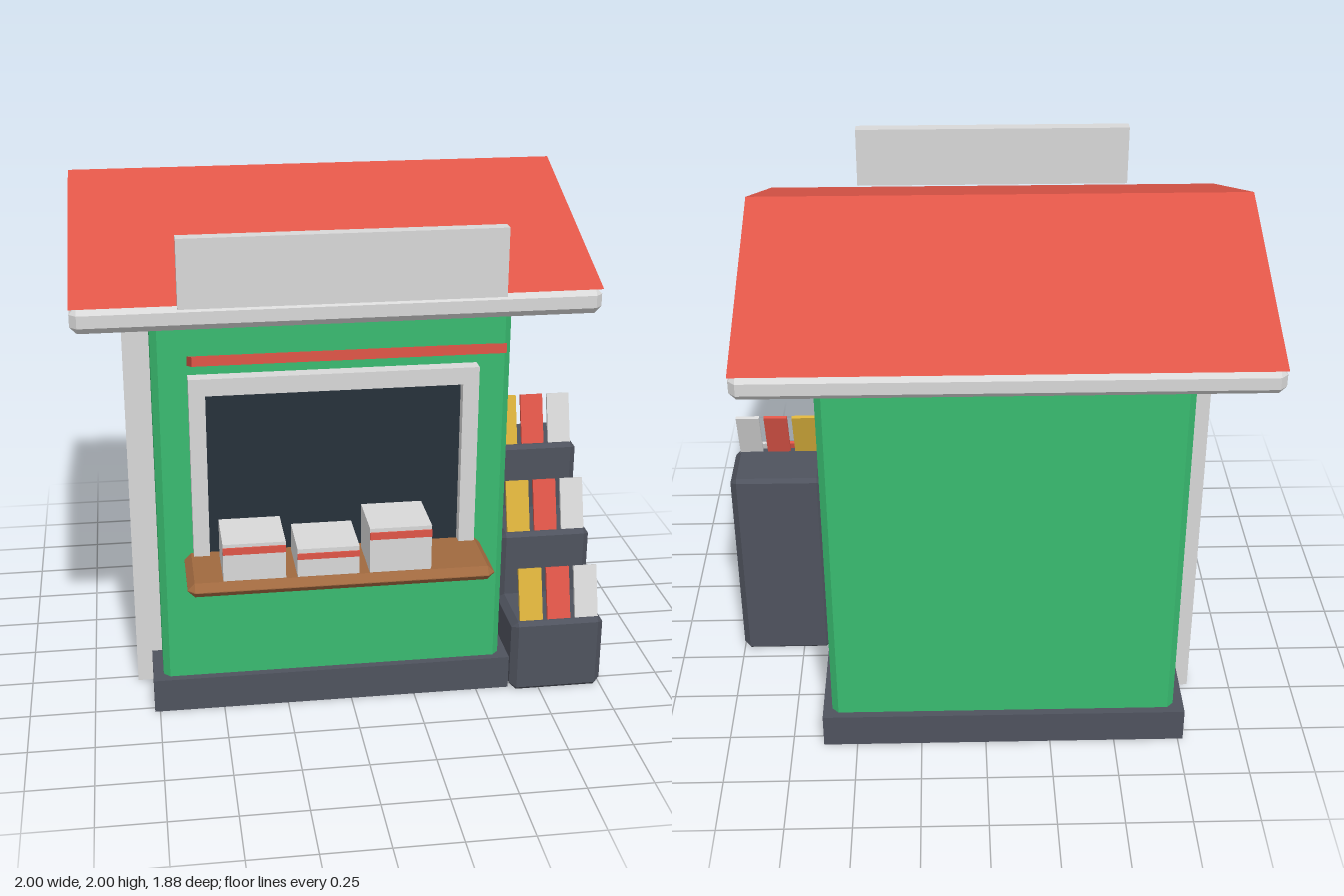
import * as THREE from 'three';
import { ConvexGeometry } from 'three/addons/geometries/ConvexGeometry.js';

const paint = (name, color) => {
  const m = new THREE.MeshStandardMaterial({ color });
  m.name = name;
  return m;
};

export function createModel() {
  const red = paint('red', 0xe05648);
  const green = paint('green', 0x39bb70);
  const white = paint('white', 0xd8d8d8);
  const slate = paint('slate', 0x4f535e);
  const brown = paint('brown', 0xa0693f);
  const glass = paint('dark glass', 0x27313b);
  const yellow = paint('yellow', 0xdcb23c);

  const model = new THREE.Group();
  model.name = 'kiosk';

  const add = (name, geometry, material, parent = model) => {
    const mesh = new THREE.Mesh(geometry, material);
    mesh.name = name;
    parent.add(mesh);
    return mesh;
  };

  // Box given by its limits on each axis
  const box = (name, material, [x0, x1], [y0, y1], [z0, z1], parent = model) => {
    const mesh = add(name, new THREE.BoxGeometry(x1 - x0, y1 - y0, z1 - z0), material, parent);
    mesh.position.set((x0 + x1) / 2, (y0 + y1) / 2, (z0 + z1) / 2);
    return mesh;
  };

  // Box with every edge chamfered by c
  const chamferBox = (name, material, [x0, x1], [y0, y1], [z0, z1], c) => {
    const half = [(x1 - x0) / 2, (y1 - y0) / 2, (z1 - z0) / 2];
    const points = [];
    for (const sx of [-1, 1]) for (const sy of [-1, 1]) for (const sz of [-1, 1])
      for (let full = 0; full < 3; full++) {
        const p = [sx, sy, sz].map((s, axis) => s * (half[axis] - (axis === full ? 0 : c)));
        points.push(new THREE.Vector3(...p));
      }
    const mesh = add(name, new ConvexGeometry(points), material);
    mesh.position.set((x0 + x1) / 2, (y0 + y1) / 2, (z0 + z1) / 2);
    return mesh;
  };

  // Side profile of [z, y] points extruded along x from x0 to x1
  const sideProfile = (name, material, points, x0, x1, bevel = 0) => {
    const shape = new THREE.Shape(points.map(([z, y]) => new THREE.Vector2(-z, y)));
    const geometry = new THREE.ExtrudeGeometry(shape, {
      depth: x1 - x0 - 2 * bevel, bevelEnabled: bevel > 0,
      bevelSize: bevel, bevelThickness: bevel, bevelOffset: -bevel, bevelSegments: 1,
    });
    geometry.rotateY(Math.PI / 2);
    geometry.translate(x0 + bevel, 0, 0);
    return add(name, geometry, material);
  };

  // Building
  box('base', slate, [-0.77, 0.63], [0, 0.135], [-0.8, 0.53]);
  chamferBox('walls', green, [-0.73, 0.595], [0.02, 1.61], [-0.77, 0.5], 0.025);
  chamferBox('eaves', white, [-1, 0.86], [1.61, 1.705], [-0.935, 0.735], 0.025);
  sideProfile('roof', red, [[0.73, 1.702], [-0.1, 2], [-0.93, 1.702]], -1, 0.86);
  box('signBoard', white, [-0.635, 0.5], [1.705, 1.95], [0.735, 0.785]);
  sideProfile('awning', red,
    [[0.49, 1.402], [0.94, 1.555], [0.94, 1.59], [0.49, 1.437]], -0.6, 0.465);

  // Serving window: frame with an opening and dark glass
  const frame = new THREE.Group();
  frame.name = 'windowFrame';
  model.add(frame);
  box('frameRight', white, [-0.6, -0.54], [0.65, 1.37], [0.49, 0.555], frame);
  box('frameLeft', white, [0.405, 0.465], [0.65, 1.37], [0.49, 0.555], frame);
  box('frameTop', white, [-0.54, 0.405], [1.305, 1.37], [0.49, 0.555], frame);
  box('windowGlass', glass, [-0.54, 0.405], [0.66, 1.305], [0.504, 0.512]);
  chamferBox('counter', brown, [-0.635, 0.495], [0.615, 0.67], [0.495, 0.8], 0.026);

  // Striped packages on the counter: x limits, top, stripe limits
  const packages = [
    [[-0.505, -0.277], 0.815, [0.775, 0.802]],
    [[-0.235, -0.008], 0.78, [0.74, 0.763]],
    [[0.03, 0.258], 0.845, [0.802, 0.83]],
  ];
  for (const [x, top, stripe] of packages) {
    box('package', white, x, [0.67, top], [0.55, 0.77]);
    box('packageStripe', red, x, stripe, [0.769, 0.775]);
  }

  // Door on the right-hand wall
  const door = new THREE.Group();
  door.name = 'door';
  model.add(door);
  box('doorPanel', brown, [-0.785, -0.72], [0.02, 1.48], [-0.41, 0.22], door);
  for (const z of [-0.48, 0.21])
    box('doorPost', white, [-0.83, -0.72], [0.005, 1.545], [z, z + 0.08], door);
  box('doorLintel', white, [-0.83, -0.72], [1.47, 1.545], [-0.4, 0.21], door);
  box('doorHandle', white, [-0.825, -0.78], [0.67, 0.73], [0.05, 0.1], door);

  // Stepped display rack with cut corners
  const c = 0.015;
  sideProfile('displayRack', slate, [
    [-0.2 + c, 0], [0.565 - c, 0], [0.565, c],
    [0.565, 0.3 - c], [0.565 - c, 0.3], [0.31, 0.3],
    [0.31, 0.565 - c], [0.31 - c, 0.565], [0.06, 0.565],
    [0.06, 0.84 - c], [0.06 - c, 0.84], [-0.2 + c, 0.84],
    [-0.2, 0.84 - c], [-0.2, c],
  ], 0.632, 1, 0.025);

  // Leaning magazines, three to a step
  for (const [z, y] of [[0.54, 0.3], [0.285, 0.565], [0.03, 0.835]])
    [yellow, red, white].forEach((material, i) => {
      const geometry = new THREE.BoxGeometry(0.092, 0.205, 0.014);
      geometry.translate(0, 0.1025, 0);
      const magazine = add('magazine', geometry, material);
      magazine.position.set(0.71 + i * 0.111, y, z);
      magazine.rotation.x = -0.3;
    });

  return model;
}
